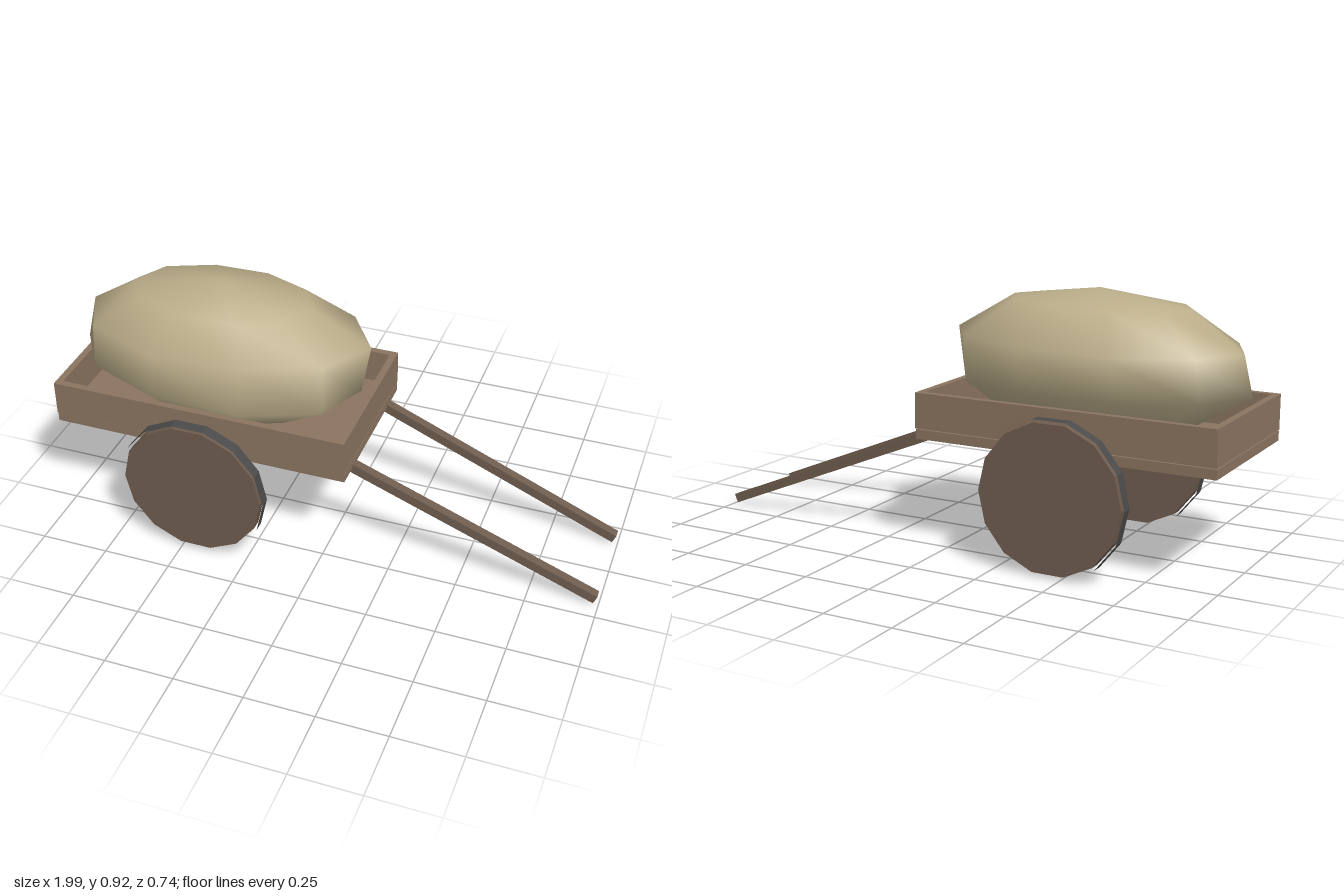
import * as THREE from 'three';
import { mergeVertices } from 'three/addons/utils/BufferGeometryUtils.js';

const mat = (color, flatShading = true) => new THREE.MeshStandardMaterial({ color, flatShading });

function add(parent, name, geometry, material, x = 0, y = 0, z = 0) {
  const mesh = new THREE.Mesh(geometry, material);
  mesh.name = name;
  mesh.position.set(x, y, z);
  parent.add(mesh);
  return mesh;
}

// Lumpy low-poly sack: a coarse sphere, stretched and pushed about row by row
function sackGeometry() {
  const geo = new THREE.SphereGeometry(1, 10, 5);
  geo.deleteAttribute('uv');
  geo.deleteAttribute('normal');
  const p = geo.attributes.position;
  for (let i = 0; i < p.count; i++) {
    const x = p.getX(i), y = p.getY(i), z = p.getZ(i);
    const lean = y > 0.6 ? 0.005 : y > 0 ? -0.015 : 0.015;
    const r = Math.hypot(x, z);
    const lump = 1 + 0.025 * r * Math.sin(3 * Math.atan2(z, x) + 4 * y);
    p.setXYZ(i,
      -0.455 + x * 0.56 * lump,
      0.665 + y * 0.255 + (r > 0.1 ? 0.012 * x * y : 0),
      z * 0.32 * lump + lean * Math.min(1, r * 2));
  }
  const merged = mergeVertices(geo, 1e-4);
  merged.computeVertexNormals();
  return merged;
}

export function createModel() {
  const cart = new THREE.Group();
  cart.name = 'handcart';
  const wood = mat(0x8b7460), darkWood = mat(0x6f5d4f), iron = mat(0x4b4b4b);

  // Bed: floor slab with four boards standing just above it
  add(cart, 'floor', new THREE.BoxGeometry(1.1, 0.034, 0.592), wood, -0.45, 0.407, 0);
  const t = 0.025, wallH = 0.126, wallY = 0.491;
  for (const s of [-1, 1]) {
    add(cart, 'sideBoard', new THREE.BoxGeometry(1.1, wallH, t), wood, -0.45, wallY, s * (0.3 - t / 2));
    add(cart, 'endBoard', new THREE.BoxGeometry(t, wallH, 0.6 - 2 * t), wood, -0.45 + s * (0.55 - t / 2), wallY, 0);
  }

  // Axle
  add(cart, 'axle', new THREE.BoxGeometry(0.034, 0.034, 0.66), darkWood, -0.45, 0.267, 0);

  // Wheels: fourteen-sided wooden disc inside an iron band, flat side down
  const disc = new THREE.CylinderGeometry(0.261, 0.261, 0.041, 14);
  const band = new THREE.CylinderGeometry(0.272, 0.272, 0.042, 14, 1, true);
  for (const g of [disc, band]) g.rotateY(Math.PI / 2).rotateX(Math.PI / 2);
  for (const s of [-1, 1]) {
    const wheel = new THREE.Group();
    wheel.name = s > 0 ? 'frontWheel' : 'backWheel';
    wheel.position.set(-0.45, 0.265, s * 0.348);
    add(wheel, 'wheelDisc', disc, darkWood);
    add(wheel, 'wheelBand', band, iron);
    cart.add(wheel);
  }

  // Shafts slope from under the bed to the ground, drawing together slightly
  for (const s of [-1, 1]) {
    const a = new THREE.Vector3(0.068, 0.397, s * 0.192);
    const b = new THREE.Vector3(0.987, 0.022, s * 0.172);
    const mid = a.clone().add(b).multiplyScalar(0.5);
    const shaft = add(cart, 'shaft', new THREE.BoxGeometry(0.034, 0.034, a.distanceTo(b)), darkWood, mid.x, mid.y, mid.z);
    shaft.lookAt(b);
  }

  // Load
  add(cart, 'sack', sackGeometry(), mat(0xbcae8a, false));
  return cart;
}
